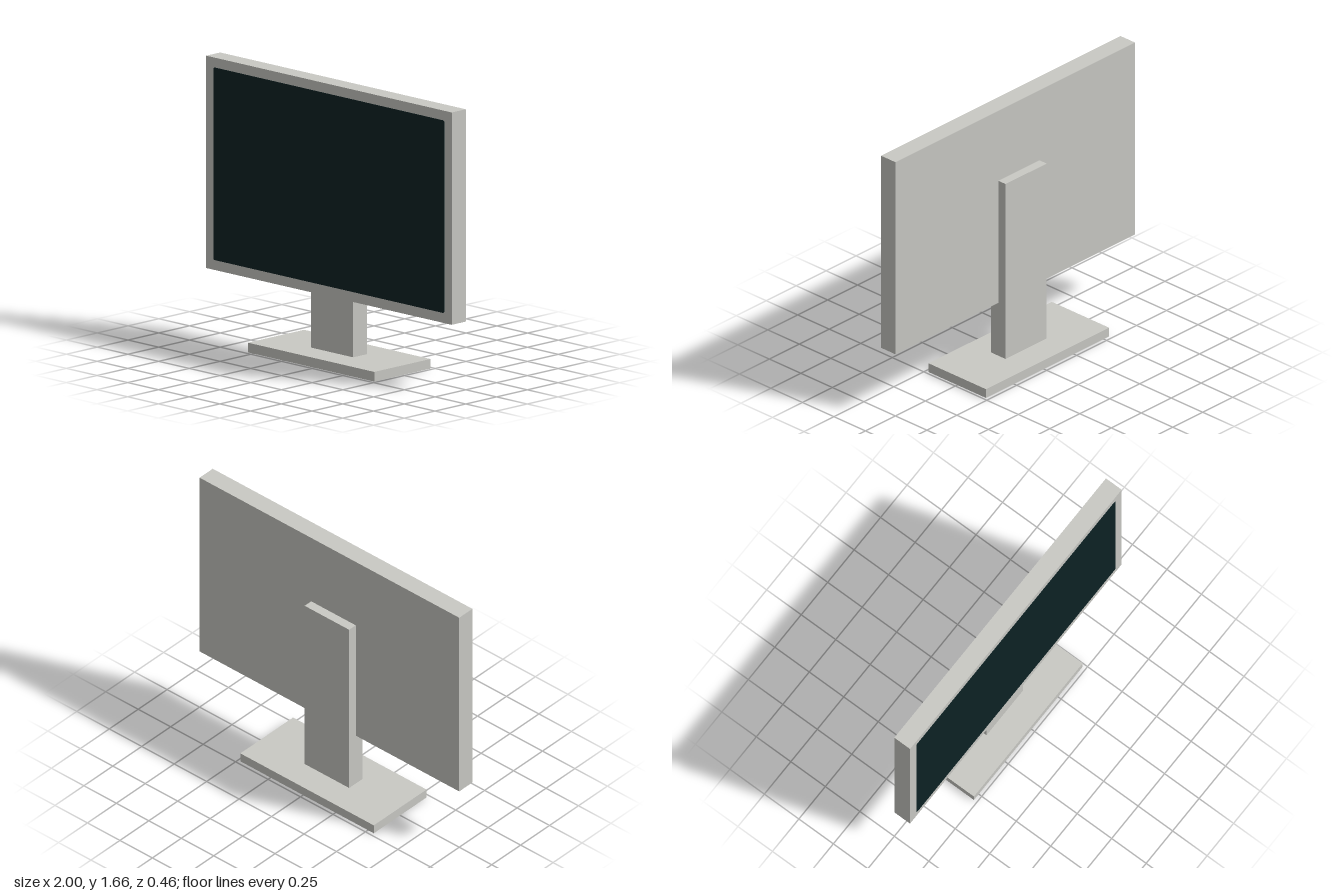
import * as THREE from 'three';

const casing = new THREE.MeshStandardMaterial({ color: 0xc9c9c4 });
casing.name = 'warm grey casing';
const glass = new THREE.MeshStandardMaterial({ color: 0x0c2224 });
glass.name = 'dark screen';

// Box given by its minimum and maximum corners
function block(name, [x0, y0, z0], [x1, y1, z1]) {
  const mesh = new THREE.Mesh(new THREE.BoxGeometry(x1 - x0, y1 - y0, z1 - z0), casing);
  mesh.position.set((x0 + x1) / 2, (y0 + y1) / 2, (z0 + z1) / 2);
  mesh.name = name;
  return mesh;
}

// Rectangle centred on the origin with softly rounded corners
function roundedRect(width, height, r) {
  const x = width / 2, y = height / 2;
  const shape = new THREE.Shape();
  shape.absarc(x - r, y - r, r, 0, Math.PI / 2);
  shape.absarc(-x + r, y - r, r, Math.PI / 2, Math.PI);
  shape.absarc(-x + r, -y + r, r, Math.PI, Math.PI * 1.5);
  shape.absarc(x - r, -y + r, r, Math.PI * 1.5, Math.PI * 2);
  shape.closePath();
  return shape;
}

export function createModel() {
  const monitor = new THREE.Group();
  monitor.name = 'monitor';

  // Stand, set slightly off centre
  monitor.add(block('base', [-0.545, 0, -0.228], [0.483, 0.057, 0.228]));
  monitor.add(block('neck', [-0.203, 0.057, -0.057], [0.14, 1.2, 0.057]));

  // Display housing
  monitor.add(block('housing', [-1, 0.403, 0], [1, 1.658, 0.114]));

  // Thin screen plate on the front of the housing
  const plate = new THREE.ExtrudeGeometry(roundedRect(1.88, 1.138, 0.012), {
    depth: 0.003, bevelEnabled: false, curveSegments: 4,
  });
  const screen = new THREE.Mesh(plate, glass);
  screen.position.set(0, 1.031, 0.113);
  screen.name = 'screen';
  monitor.add(screen);

  return monitor;
}
